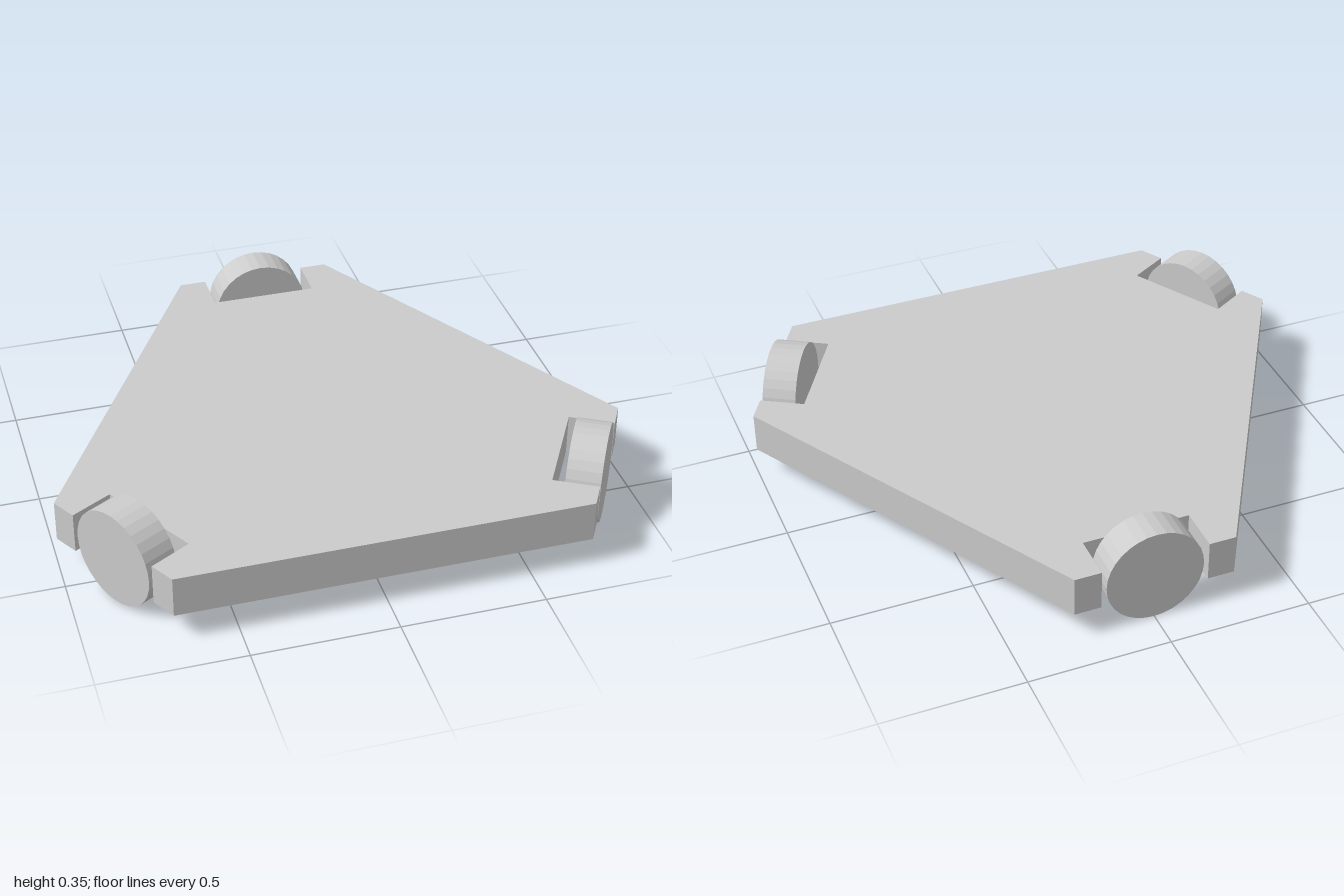
import * as THREE from 'three';

const CENTRE_Z = 0.122;   // axis of the threefold symmetry
const REACH = 0.987;      // axis to each wheel edge
const ANGLES = [-90, 30, 150].map(THREE.MathUtils.degToRad);
const WHEEL_RADIUS = 0.173;
const WHEEL_WIDTH = 0.12;

export function createModel() {
  const model = new THREE.Group();
  model.name = 'threeWheelBase';
  const material = new THREE.MeshStandardMaterial({ color: 0xcccccc, flatShading: true });

  // Plate outline: one truncated, notched corner repeated three times
  const corner = [
    [-0.285, 0], [-0.19, 0], [-0.19, -0.16], [0.19, -0.16], [0.19, 0], [0.285, 0],
  ];
  const outline = ANGLES.flatMap((a) => corner.map(([s, r]) => new THREE.Vector2(
    Math.cos(a) * (REACH + r) - Math.sin(a) * s,
    Math.sin(a) * (REACH + r) + Math.cos(a) * s,
  )));
  const plateGeometry = new THREE.ExtrudeGeometry(new THREE.Shape(outline), {
    depth: 0.147, bevelEnabled: false,
  });
  plateGeometry.rotateX(Math.PI / 2);
  const plate = new THREE.Mesh(plateGeometry, material);
  plate.name = 'basePlate';
  plate.position.set(0, 0.248, CENTRE_Z);
  model.add(plate);

  // Wheels: one in each notch, outer face flush with the plate edge
  const wheelGeometry = new THREE.CylinderGeometry(WHEEL_RADIUS, WHEEL_RADIUS, WHEEL_WIDTH, 32);
  wheelGeometry.rotateX(Math.PI / 2);
  const names = ['backWheel', 'leftWheel', 'rightWheel'];
  ANGLES.forEach((a, i) => {
    const wheel = new THREE.Mesh(wheelGeometry, material);
    const r = REACH - WHEEL_WIDTH / 2;
    wheel.name = names[i];
    wheel.position.set(Math.cos(a) * r, WHEEL_RADIUS, CENTRE_Z + Math.sin(a) * r);
    wheel.rotation.y = Math.PI / 2 - a;
    model.add(wheel);
  });

  return model;
}
